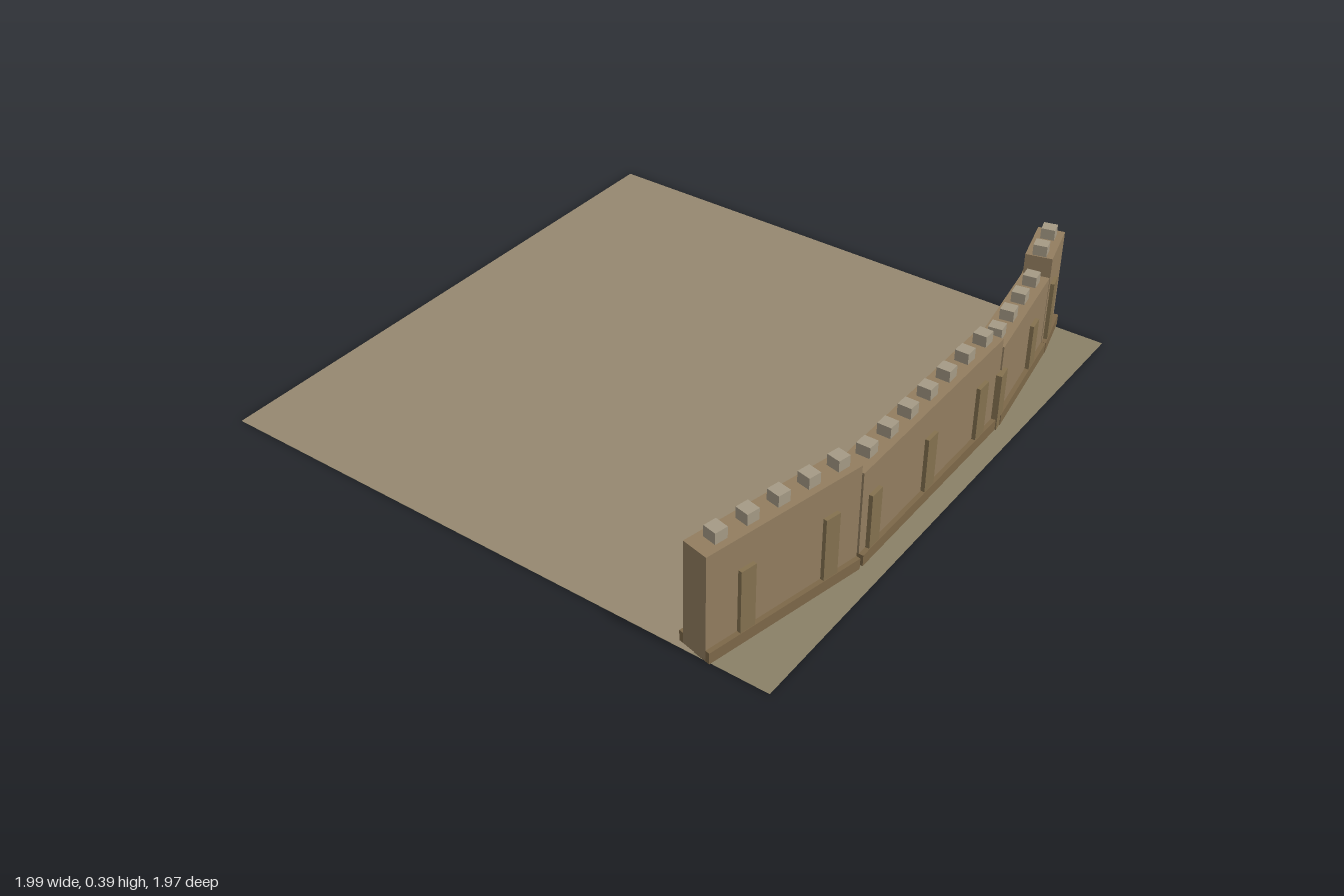
import * as THREE from 'three';

const mat = (color) => new THREE.MeshStandardMaterial({ color, flatShading: true });
const stone = mat(0x927d5f);
const pilasterStone = mat(0x84714f);
const plinthStone = mat(0x7c6748);
const merlonStone = mat(0xa59a85);
const mortar = mat(0x5e4e38);

function box(parent, name, material, w, h, d, x, y, z = 0) {
  const mesh = new THREE.Mesh(new THREE.BoxGeometry(w, h, d), material);
  mesh.name = name;
  mesh.position.set(x, y + h / 2, z);
  parent.add(mesh);
  return mesh;
}

// One straight run of wall between two ground points; local x runs along the wall
function wallSection({ from, to, height, merlons, firstMerlon, pilasters }) {
  const section = new THREE.Group();
  section.name = 'wallSection';
  const dx = to[0] - from[0], dz = to[1] - from[1];
  const length = Math.hypot(dx, dz);
  section.position.set(from[0], 0, from[1]);
  section.rotation.y = Math.atan2(-dz, dx);

  box(section, 'wallBody', stone, length, height, 0.088, length / 2, 0);
  box(section, 'plinth', plinthStone, length, 0.038, 0.118, length / 2, 0);

  // Battlements
  for (let i = 0; i < merlons; i++) {
    box(section, 'merlon', merlonStone, 0.043, 0.037, 0.045, firstMerlon + i * 0.1105, height);
  }
  // Pilasters stand proud of both faces
  for (const x of pilasters) {
    box(section, 'pilaster', pilasterStone, 0.053, height * 0.7, 0.114, x, 0.001);
  }
  // Fine mortar courses on the inner face
  for (const y of [0.055, 0.11, 0.165]) {
    box(section, 'mortarCourse', mortar, length * 0.98, 0.003, 0.002, length / 2, y, -0.044);
  }
  return section;
}

export function createModel() {
  const model = new THREE.Group();
  model.name = 'fortressWall';

  // Outer ground
  const ground = new THREE.Mesh(
    new THREE.PlaneGeometry(1.97, 1.97),
    new THREE.MeshStandardMaterial({ color: 0x8a8066, side: THREE.DoubleSide })
  );
  ground.name = 'ground';
  ground.rotation.x = -Math.PI / 2;
  ground.position.x = -0.007;
  model.add(ground);

  // Courtyard floor inside the line of the wall
  const outline = [[-0.992, -0.985], [0.978, -0.985], [0.978, 0.756], [0.803, 0.799],
    [0.368, 0.863], [-0.435, 0.863], [-0.984, 0.741], [-0.992, 0.739]];
  const shape = new THREE.Shape(outline.map(([x, z]) => new THREE.Vector2(x, -z)));
  const courtyard = new THREE.Mesh(
    new THREE.ShapeGeometry(shape),
    new THREE.MeshStandardMaterial({ color: 0x968870, side: THREE.DoubleSide })
  );
  courtyard.name = 'courtyard';
  courtyard.rotation.x = -Math.PI / 2;
  courtyard.position.y = 0.002;
  model.add(courtyard);

  // Four wall runs, stepped in height
  const sections = [
    { from: [-0.984, 0.741], to: [-0.436, 0.863], height: 0.355, merlons: 5, firstMerlon: 0.071, pilasters: [0.138, 0.446] },
    { from: [-0.434, 0.862], to: [0.366, 0.862], height: 0.32, merlons: 7, firstMerlon: 0.084, pilasters: [0.061, 0.369, 0.676] },
    { from: [0.368, 0.864], to: [0.805, 0.797], height: 0.285, merlons: 4, firstMerlon: 0.053, pilasters: [-0.006, 0.3] },
    { from: [0.802, 0.799], to: [0.981, 0.755], height: 0.355, merlons: 2, firstMerlon: 0.026, pilasters: [0.05] },
  ];
  for (const s of sections) model.add(wallSection(s));

  return model;
}
